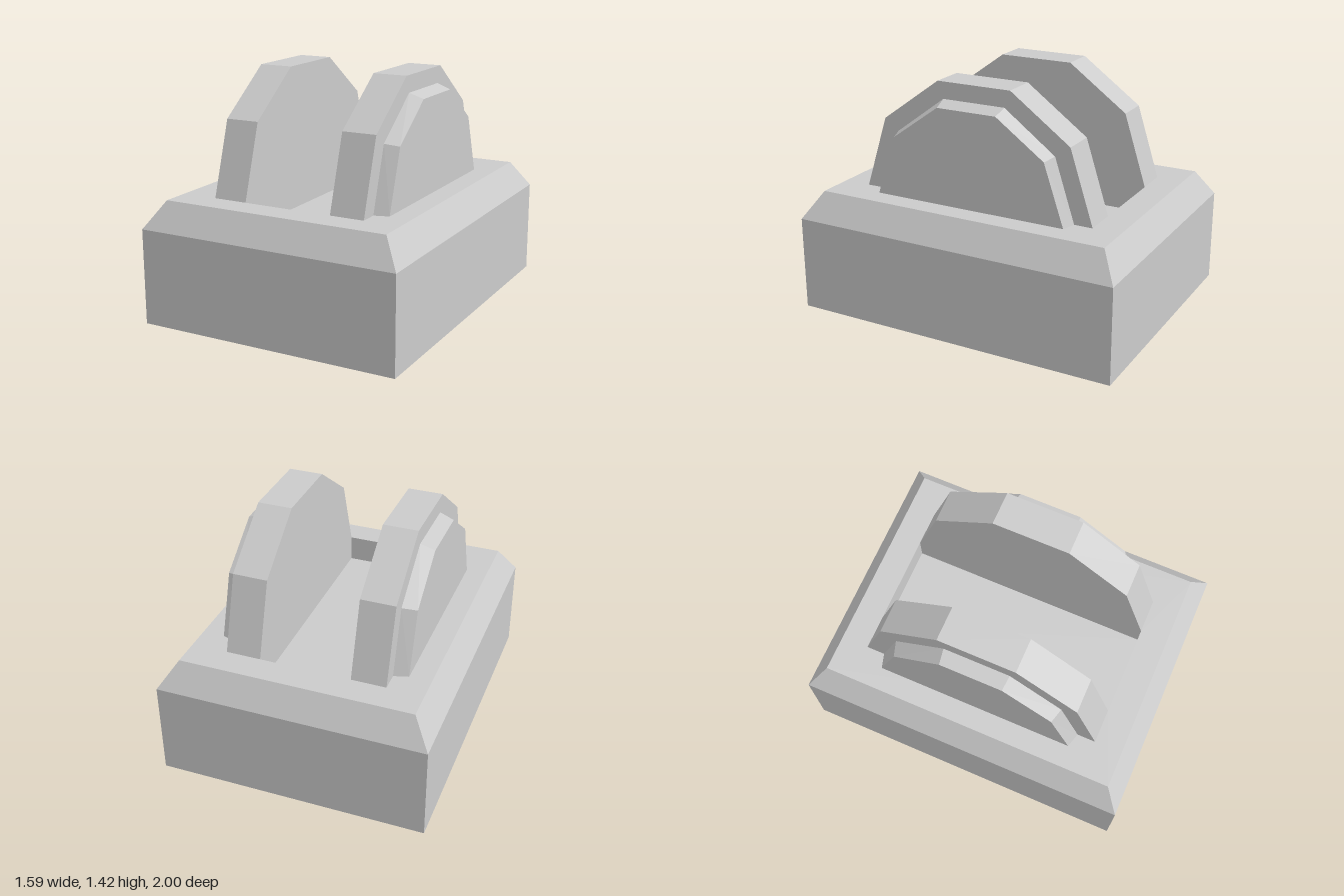
import * as THREE from 'three';

const material = new THREE.MeshStandardMaterial({ color: 0xcccccc, flatShading: true });

// Skins a series of convex loops and closes both ends.
// Loops run counter-clockwise when looking back along the direction of travel.
function loft(name, loops) {
  const pos = [];
  const tri = (a, b, c) => pos.push(...a, ...b, ...c);
  const n = loops[0].length;
  for (let i = 0; i < loops.length - 1; i++) {
    for (let j = 0; j < n; j++) {
      const k = (j + 1) % n;
      const [a, b, c, d] = [loops[i][j], loops[i][k], loops[i + 1][k], loops[i + 1][j]];
      tri(a, b, c);
      tri(a, c, d);
    }
  }
  const first = loops[0], last = loops[loops.length - 1];
  for (let j = 1; j < n - 1; j++) {
    tri(first[0], first[j + 1], first[j]);
    tri(last[0], last[j], last[j + 1]);
  }
  const geometry = new THREE.BufferGeometry();
  geometry.setAttribute('position', new THREE.Float32BufferAttribute(pos, 3));
  geometry.computeVertexNormals();
  const mesh = new THREE.Mesh(geometry, material);
  mesh.name = name;
  return mesh;
}

// Horizontal rectangle
const rect = (hx, y, hz) => [[hx, y, hz], [hx, y, -hz], [-hx, y, -hz], [-hx, y, hz]];

// Faceted arch at a given x, from half-widths and heights of one side
const arch = (x, side) => [
  ...side.map(([z, y]) => [x, y, -z]),
  ...side.slice().reverse().map(([z, y]) => [x, y, z]),
];

export function createModel() {
  const group = new THREE.Group();
  group.name = 'clevisBracket';
  const top = 0.725, ledge = 0.565;

  // Bevelled base block with a shallow slot sunk between the lugs
  group.add(loft('base', [
    rect(0.795, 0, 1),
    rect(0.795, ledge, 1),
    rect(0.69, top, 0.9),
    rect(0.27, top, 0.735),
    rect(0.27, ledge, 0.735),
  ]));

  // Pair of lugs, each with a tapered boss on its outer face
  const lugSide = [[0.735, top], [0.595, 1.16], [0.23, 1.425]];
  const bossInner = [[0.625, top], [0.505, 1.095], [0.195, 1.325]];
  const bossOuter = [[0.6, top], [0.48, 1.083], [0.185, 1.295]];
  for (const [name, turn] of [['left', 0], ['right', Math.PI]]) {
    const lug = new THREE.Group();
    lug.name = name + 'Lug';
    lug.add(loft(name + 'LugPlate', [arch(0.27, lugSide), arch(0.475, lugSide)]));
    lug.add(loft(name + 'LugBoss', [arch(0.475, bossInner), arch(0.56, bossOuter)]));
    lug.rotation.y = turn;
    group.add(lug);
  }
  return group;
}
